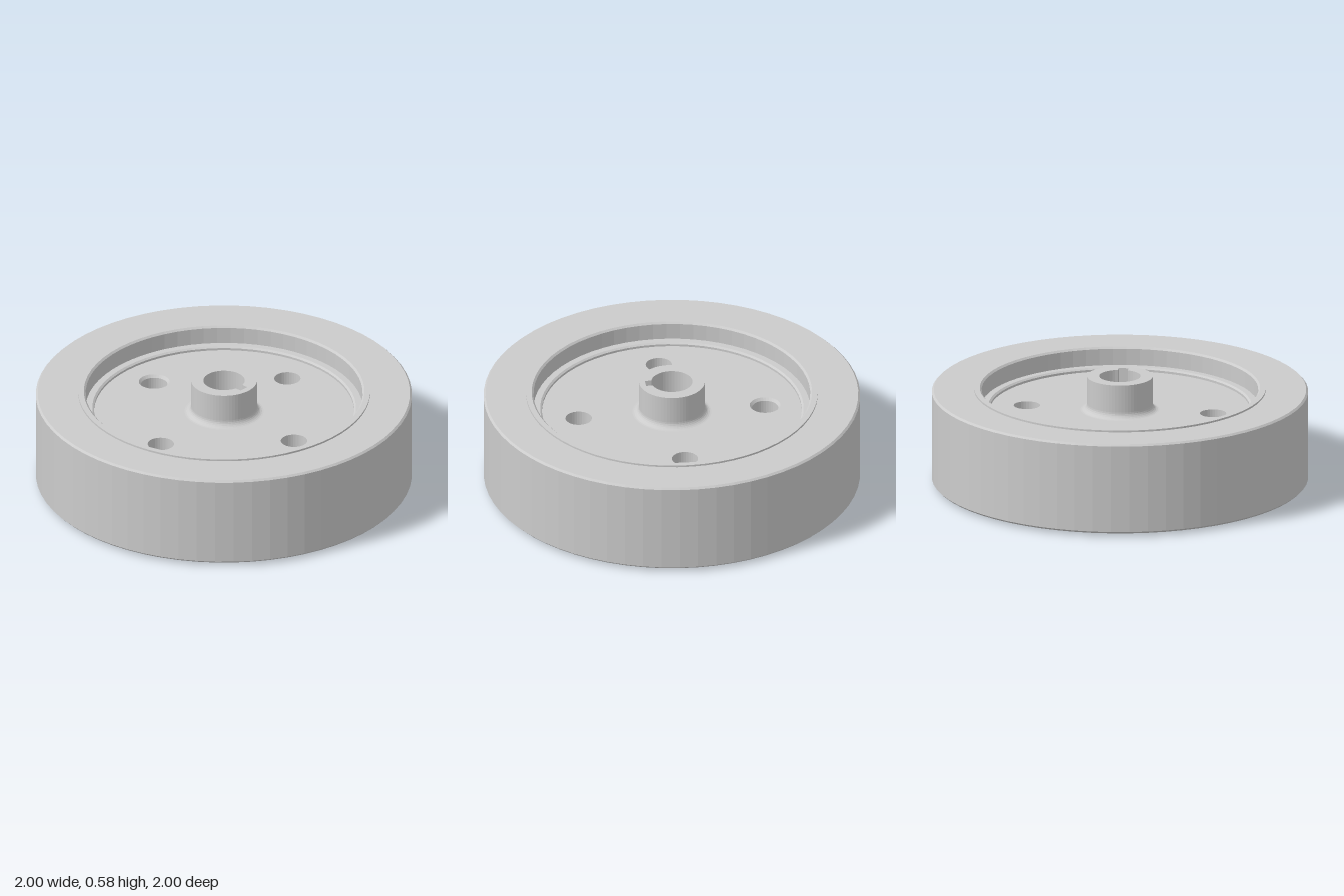
import * as THREE from 'three';

const SEG = 64;
const WEB_TOP = 0.40, WEB_BOTTOM = 0.22, HUB_TOP = 0.585;
const HUB_R = 0.175, FILLET = 0.035, WEB_R = 0.636, HOLE_R = 0.07;

const material = new THREE.MeshStandardMaterial({ color: 0xcccccc, flatShading: true });

function part(name, geometry) {
  const mesh = new THREE.Mesh(geometry, material);
  mesh.name = name;
  return mesh;
}

// Revolve [radius, height] pairs; the surface faces right of the direction of travel
function lathe(name, points, segments = SEG) {
  const profile = points.map(([r, y]) => new THREE.Vector2(r, y));
  return part(name, new THREE.LatheGeometry(profile, segments));
}

function circlePoints(radius, cx = 0, cy = 0, n = SEG) {
  return Array.from({ length: n }, (_, i) => {
    const a = (i / n) * Math.PI * 2;
    return new THREE.Vector2(cx + radius * Math.cos(a), cy + radius * Math.sin(a));
  });
}

// Quarter arc from angle a0 to a1 (degrees)
function arc(cx, cy, r, a0, a1, n = 6) {
  return Array.from({ length: n + 1 }, (_, i) => {
    const a = THREE.MathUtils.degToRad(a0 + ((a1 - a0) * i) / n);
    return [cx + r * Math.cos(a), cy + r * Math.sin(a)];
  });
}

export function createModel() {
  const wheel = new THREE.Group();
  wheel.name = 'wheel';

  // Solid tyre with softened corners
  wheel.add(lathe('tyre', [
    [0.775, 0.015], [0.99, 0.015], [1, 0.025], [1, 0.5], [0.99, 0.51], [0.775, 0.51],
  ]));

  // Upper rim: raised sleeve lip, inner wall and ledge down to the web
  wheel.add(lathe('upperRim', [
    [0.775, 0.51], [0.775, 0.52], [0.745, 0.52], [0.735, 0.51], [0.735, 0.42],
    [0.7, 0.42], [0.69, 0.412], [0.69, WEB_TOP], [WEB_R, WEB_TOP],
  ]));

  // Lower rim: rounded pocket, step and sleeve lip
  wheel.add(lathe('lowerRim', [
    ...arc(WEB_R, WEB_BOTTOM - 0.068, 0.068, 90, 0, 8),
    [0.704, 0.11], [0.714, 0.1], [0.735, 0.1], [0.735, 0.01], [0.745, 0],
    [0.775, 0], [0.775, 0.015],
  ]));

  // Four bolt holes; the one on the model's right is countersunk
  const holes = [[0.5, 0], [0, 0.5], [-0.5, 0], [0, -0.5]].map(([x, z]) => ({
    x, z, topR: x < 0 ? 0.082 : HOLE_R,
  }));

  function webFace(name, y, up, innerR, holeRadius) {
    const shape = new THREE.Shape(circlePoints(WEB_R));
    shape.holes.push(new THREE.Path(circlePoints(innerR)));
    for (const h of holes) {
      shape.holes.push(new THREE.Path(circlePoints(holeRadius(h), h.x, up ? -h.z : h.z, 32)));
    }
    const geometry = new THREE.ShapeGeometry(shape);
    geometry.rotateX(up ? -Math.PI / 2 : Math.PI / 2);
    geometry.translate(0, y, 0);
    return part(name, geometry);
  }
  wheel.add(webFace('webTop', WEB_TOP, true, HUB_R + FILLET, (h) => h.topR));
  wheel.add(webFace('webBottom', WEB_BOTTOM, false, 0.3, () => HOLE_R));

  for (const h of holes) {
    const bore = lathe('boltHole', [
      [h.topR, WEB_TOP], [HOLE_R, WEB_TOP - 0.015], [HOLE_R, WEB_BOTTOM],
    ], 32);
    bore.position.set(h.x, 0, h.z);
    wheel.add(bore);
  }

  // Hub with a keyed bore
  const keyHalf = 0.026, boreR = 0.11, hubBottom = WEB_BOTTOM - 0.003;
  const start = Math.asin(keyHalf / boreR);
  const hubShape = new THREE.Shape(circlePoints(HUB_R));
  const keyedBore = [new THREE.Vector2(0.142, -keyHalf), new THREE.Vector2(0.142, keyHalf)];
  for (let i = 0; i <= 40; i++) {
    const a = start + (i / 40) * (Math.PI * 2 - 2 * start);
    keyedBore.push(new THREE.Vector2(boreR * Math.cos(a), boreR * Math.sin(a)));
  }
  hubShape.holes.push(new THREE.Path(keyedBore));
  const hub = new THREE.ExtrudeGeometry(hubShape, {
    depth: HUB_TOP - hubBottom, bevelEnabled: false,
  });
  hub.rotateX(-Math.PI / 2);
  hub.translate(0, hubBottom, 0);
  wheel.add(part('hub', hub));

  // Fillet where the hub meets the web
  wheel.add(lathe('hubFillet', arc(HUB_R + FILLET, WEB_TOP + FILLET, FILLET, 270, 180)));

  // Shallow round pad under the hub
  wheel.add(lathe('hubPad', [[HUB_R, hubBottom], [0.3, hubBottom], [0.3, WEB_BOTTOM]]));

  return wheel;
}
